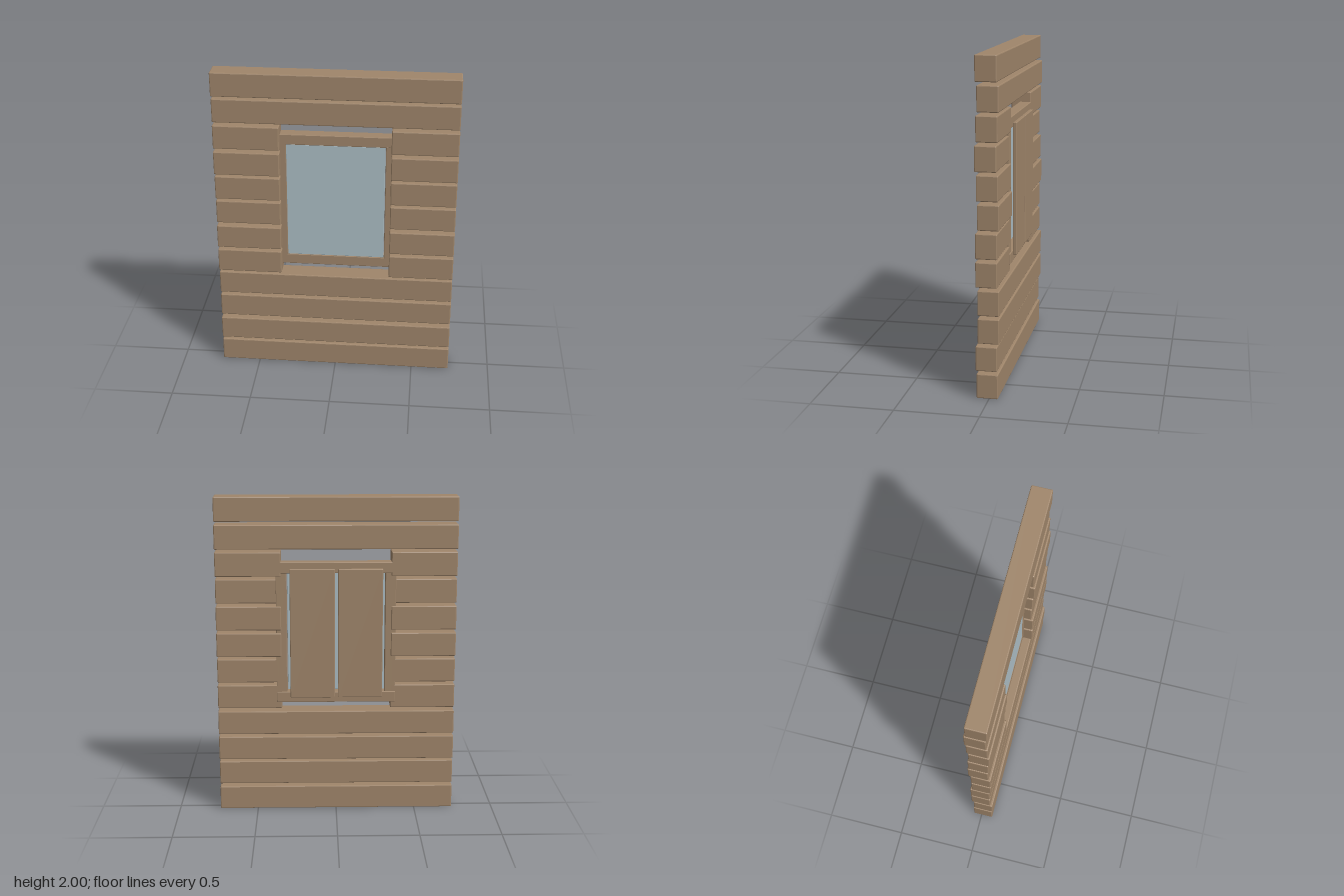
import * as THREE from 'three';
import { RoundedBoxGeometry } from 'three/addons/geometries/RoundedBoxGeometry.js';

const wood = new THREE.MeshStandardMaterial({ color: 0xa0866b, flatShading: true });
const glass = new THREE.MeshStandardMaterial({ color: 0xadbfc6, flatShading: true });

// Chamfered block given by its extents on each axis
function block(name, [x0, x1], [y0, y1], [z0, z1], material = wood, bevel = 0.006) {
  const geometry = new RoundedBoxGeometry(x1 - x0, y1 - y0, z1 - z0, 1, bevel);
  const mesh = new THREE.Mesh(geometry, material);
  mesh.name = name;
  mesh.position.set((x0 + x1) / 2, (y0 + y1) / 2, (z0 + z1) / 2);
  return mesh;
}

export function createModel() {
  const model = new THREE.Group();
  model.name = 'plankWallWithWindow';

  // Wall planks, bottom to top, each set slightly forward or back
  const wall = new THREE.Group();
  wall.name = 'wallPlanks';
  const fronts = [0.074, 0.079, 0.066, 0.066, 0.077, 0.077, 0.065, 0.07, 0.079, 0.071, 0.064, 0.074];
  fronts.forEach((front, i) => {
    const y = 0.003 + i * 0.1679;
    const ys = [y, y + 0.15], zs = [front - 0.127, front];
    if (i >= 4 && i <= 9) {
      wall.add(block('shortPlankRight', [-0.743, -0.34], ys, zs));
      wall.add(block('shortPlankLeft', [0.338, 0.74], ys, zs));
    } else {
      wall.add(block('longPlank', [-0.743, 0.74], ys, zs));
    }
  });
  model.add(wall);

  // Window frame: two posts between two rails
  const frame = new THREE.Group();
  frame.name = 'windowFrame';
  frame.add(block('topRail', [-0.37, 0.37], [1.535, 1.602], [-0.056, 0.018], wood, 0.004));
  frame.add(block('bottomRail', [-0.37, 0.37], [0.715, 0.782], [-0.056, 0.018], wood, 0.004));
  for (const s of [-1, 1]) {
    const xs = s < 0 ? [-0.37, -0.303] : [0.303, 0.37];
    frame.add(block('sidePost', xs, [0.775, 1.542], [-0.05, 0.018], wood, 0.004));
  }
  model.add(frame);

  // Glass pane near the front of the frame
  model.add(block('glassPane', [-0.305, 0.3], [0.783, 1.537], [0.002, 0.016], glass, 0.002));

  // Pair of shutters on the back
  model.add(block('shutterRight', [-0.287, -0.012], [0.752, 1.563], [-0.08, -0.056], wood, 0.004));
  model.add(block('shutterLeft', [0.008, 0.284], [0.752, 1.563], [-0.08, -0.056], wood, 0.004));

  return model;
}
